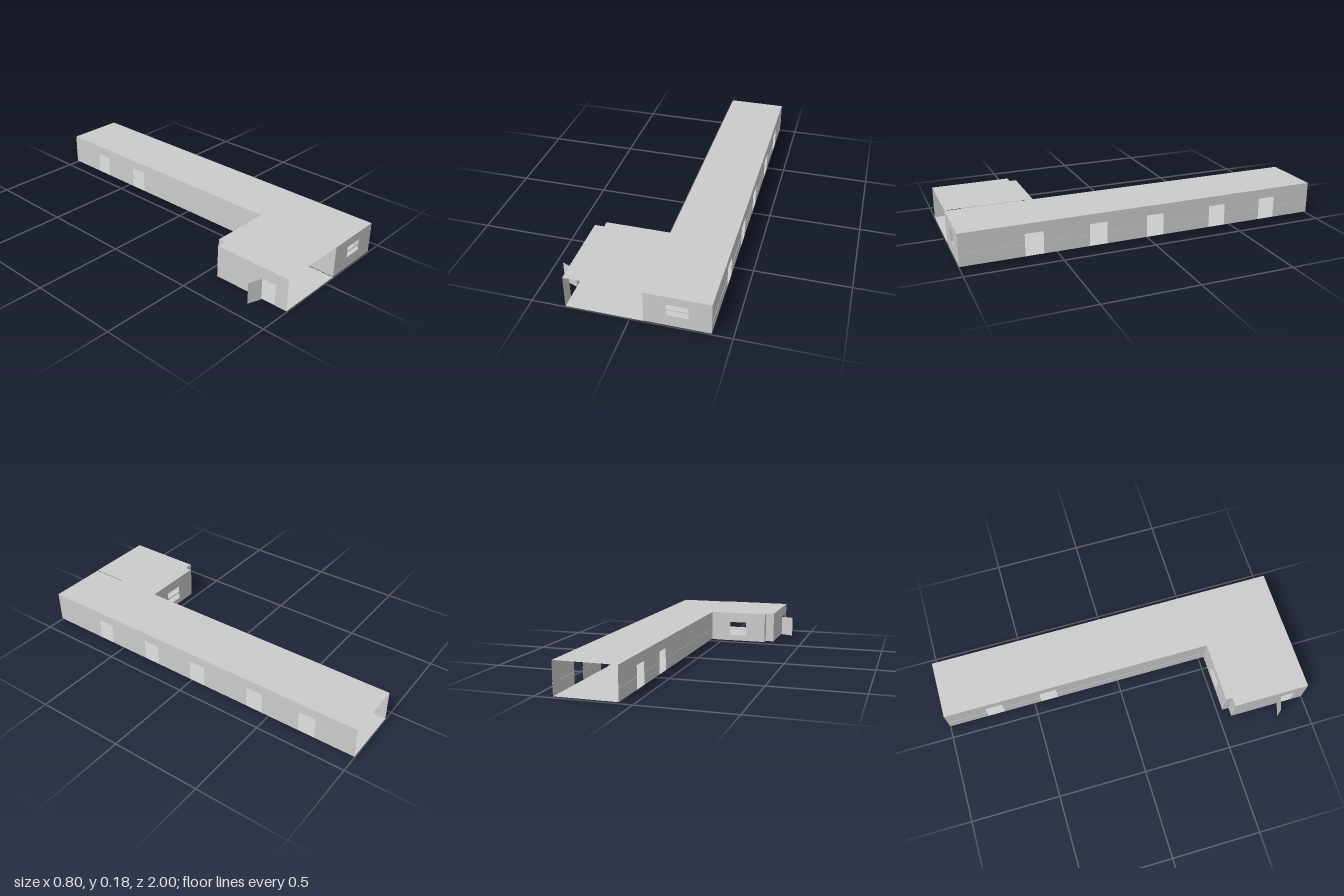
import * as THREE from 'three';

const mat = new THREE.MeshStandardMaterial({ color: 0xcccccc, side: THREE.DoubleSide, flatShading: true });

export function createModel() {
  const model = new THREE.Group();
  const add = (name, geo, parent = model) => {
    const mesh = new THREE.Mesh(geo, mat);
    mesh.name = name;
    parent.add(mesh);
    return mesh;
  };

  // Thin upright wall from plan point a to b [x, z].
  // doors: [start, end, top] along the wall, in order; windows: [start, end, bottom, top]
  function wall(name, a, b, y0, y1, doors = [], windows = []) {
    const dx = b[0] - a[0], dz = b[1] - a[1], len = Math.hypot(dx, dz);
    const shape = new THREE.Shape();
    shape.moveTo(0, y0);
    for (const [s, e, top] of doors) {
      shape.lineTo(s, y0);
      shape.lineTo(s, top);
      shape.lineTo(e, top);
      shape.lineTo(e, y0);
    }
    shape.lineTo(len, y0);
    shape.lineTo(len, y1);
    shape.lineTo(0, y1);
    shape.closePath();
    for (const [s, e, lo, hi] of windows) {
      const hole = new THREE.Path();
      hole.moveTo(s, lo);
      hole.lineTo(s, hi);
      hole.lineTo(e, hi);
      hole.lineTo(e, lo);
      hole.closePath();
      shape.holes.push(hole);
    }
    const mesh = add(name, new THREE.ShapeGeometry(shape));
    mesh.position.set(a[0], 0, a[1]);
    mesh.rotation.y = Math.atan2(-dz, dx);
    return mesh;
  }

  // Flat horizontal slab from a plan outline of [x, z] points
  function slab(name, points, y) {
    const shape = new THREE.Shape(points.map(([x, z]) => new THREE.Vector2(x, -z)));
    const geo = new THREE.ShapeGeometry(shape).rotateX(-Math.PI / 2);
    add(name, geo).position.y = y;
  }

  // Corridor
  const xl = 0.068, xr = 0.399, floorY = 0.007, roofY = 0.181;
  const corridor = [[xl, 1], [xr, 1], [xr, -1], [xl, -1]];
  slab('corridorFloor', corridor, floorY);
  slab('corridorRoof', corridor, roofY);
  const doorTop = 0.128;
  const rightDoors = [-0.775, -0.46, -0.09, 0.23, 0.572];
  const leftDoors = rightDoors.slice(0, 2);
  const doorWidth = 0.097;
  const cut = (starts) => starts.map((z) => [z + 1, z + 1 + doorWidth, doorTop]);
  wall('corridorRightWall', [xr, -1], [xr, 1], floorY, roofY, cut(rightDoors));
  wall('corridorLeftWall', [xl, -1], [xl, 1], floorY, roofY, cut(leftDoors));
  wall('corridorFrontWall', [xl, 1], [xr, 1], floorY, roofY, [], [
    [0.18 - xl, 0.287 - xl, 0.07, 0.101],
    [0.18 - xl, 0.287 - xl, 0.107, 0.134],
  ]);

  // Slim rails along the corridor walls, broken at each doorway
  function rails(name, x, starts, endZ) {
    let from = -1;
    for (const z of [...starts, endZ]) {
      add(name, new THREE.BoxGeometry(0.003, 0.005, z - from)).position.set(x, 0.07, (from + z) / 2);
      from = z + doorWidth;
    }
  }
  rails('rightRail', xr, rightDoors, 1);
  rails('leftRail', xl, leftDoors, 0.53);

  // Side room, open at the front, with a notched back corner
  const rx = -0.325, nx = -0.275, bz = 0.532, nz = 0.57, rf = 0.005, rr = 0.183;
  const room = [[rx, 1], [xl, 1], [xl, bz], [nx, bz], [nx, nz], [rx, nz]];
  slab('roomFloor', room, rf);
  slab('roomRoof', room, rr);
  wall('roomBackWall', [nx, bz], [xl, bz], rf, rr, [], [
    [-0.155 - nx, -0.05 - nx, 0.039, 0.077],
    [-0.155 - nx, -0.05 - nx, 0.083, 0.123],
  ]);
  wall('notchSide', [nx, bz], [nx, nz], rf, rr);
  wall('notchBack', [rx, nz], [nx, nz], rf, rr);
  wall('roomOuterWall', [rx, nz], [rx, 1], rf, rr, [[0.85 - nz, 0.93 - nz, 0.12]]);

  // Open door leaf
  wall('doorLeaf', [rx, 0.85], [-0.4, 0.825], 0, 0.119);

  return model;
}
